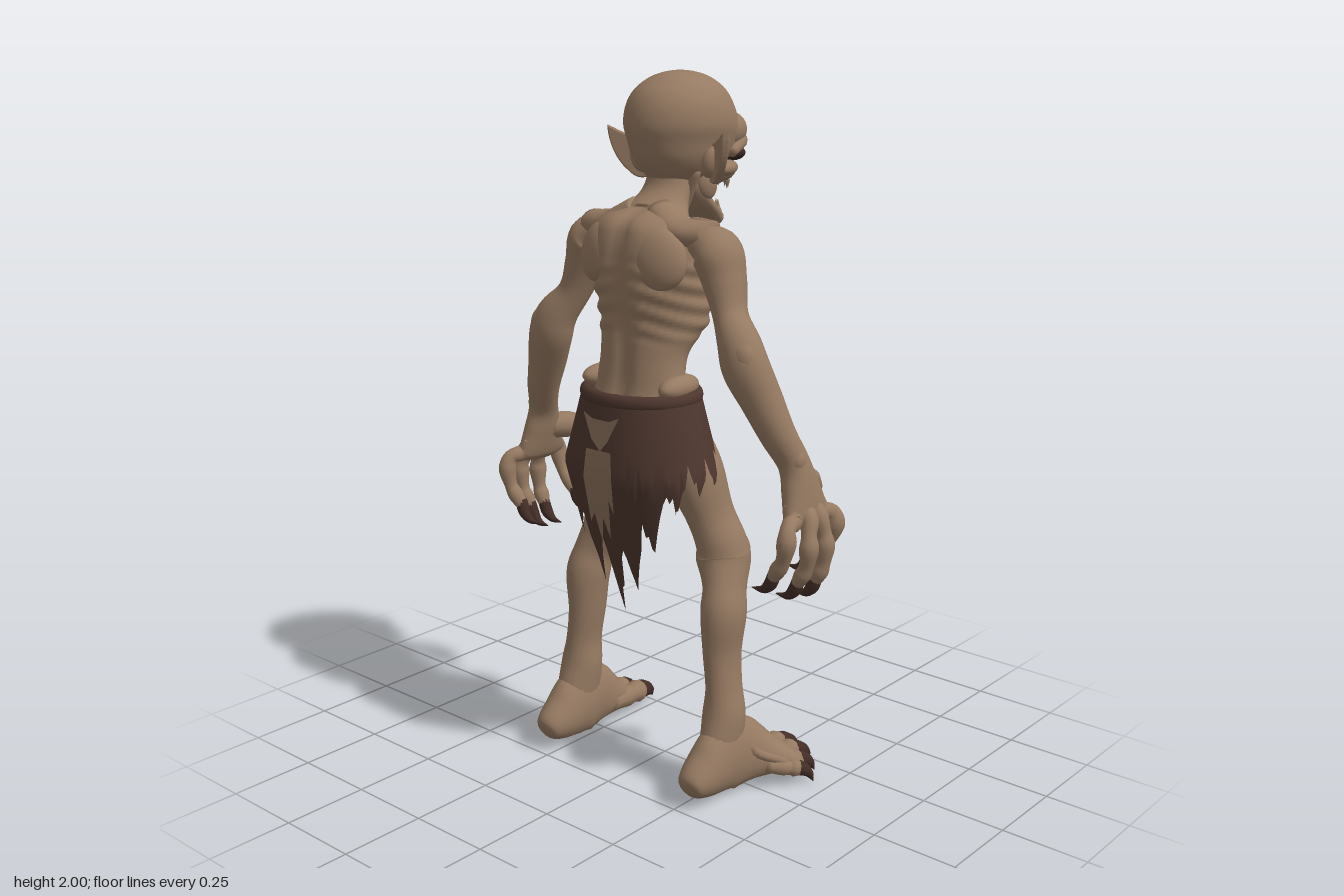
import * as THREE from 'three';

const mat = (name, color) => {
  const m = new THREE.MeshStandardMaterial({ color });
  m.name = name;
  return m;
};

// Smooth body through stations [x, y, z, radius along ref, radius across]; level keeps rings horizontal
function loft(stations, { ref = [1, 0, 0], sides = 20, rings = 40, level = false, move } = {}) {
  const mid = new THREE.CatmullRomCurve3(stations.map(s => new THREE.Vector3(s[0], s[1], s[2])), false, 'catmullrom');
  const rad = new THREE.CatmullRomCurve3(stations.map(s => new THREE.Vector3(s[3], s[4], 0)), false, 'catmullrom');
  const axis = new THREE.Vector3(...ref), pos = [], index = [];
  for (let i = 0; i <= rings; i++) {
    const c = mid.getPoint(i / rings), r = rad.getPoint(i / rings);
    const t = level ? new THREE.Vector3(0, 1, 0) : mid.getTangent(i / rings);
    const a = axis.clone().addScaledVector(t, -axis.dot(t)).normalize();
    const b = new THREE.Vector3().crossVectors(t, a);
    for (let j = 0; j < sides; j++) {
      const w = j / sides * Math.PI * 2;
      const p = c.clone().addScaledVector(a, Math.cos(w) * r.x).addScaledVector(b, Math.sin(w) * r.y);
      if (move) move(p, c);
      pos.push(p.x, p.y, p.z);
      if (i < rings) {
        const k = i * sides + j, l = i * sides + (j + 1) % sides;
        index.push(k, l, l + sides, k, l + sides, k + sides);
      }
    }
  }
  const last = rings * sides, s = stations[0], e = stations[stations.length - 1], n = pos.length / 3;
  pos.push(s[0], s[1], s[2], e[0], e[1], e[2]);
  for (let j = 0; j < sides; j++) {
    const k = (j + 1) % sides;
    index.push(n, k, j, n + 1, last + j, last + k);
  }
  const g = new THREE.BufferGeometry();
  g.setAttribute('position', new THREE.Float32BufferAttribute(pos, 3));
  g.setIndex(index);
  g.computeVertexNormals();
  return g;
}

const blob = (p, r, rot = [0, 0, 0]) => new THREE.SphereGeometry(1, 24, 16).scale(...r)
  .rotateX(rot[0]).rotateY(rot[1]).rotateZ(rot[2]).translate(...p);

function mirrored(g) {
  const m = g.clone().scale(-1, 1, 1);
  const id = m.index ? Array.from(m.index.array) : Array.from({ length: m.attributes.position.count }, (_, i) => i);
  for (let i = 0; i < id.length; i += 3) [id[i + 1], id[i + 2]] = [id[i + 2], id[i + 1]];
  m.setIndex(id);
  return m;
}

export function createModel() {
  const model = new THREE.Group();
  model.name = 'goblin';
  const skin = mat('skin', 0x967a62), cloth = mat('dark cloth', 0x4d362e), rag = mat('pale rag', 0x8a705a);
  const claw = mat('claw', 0x432d27), dark = mat('dark hollow', 0x3a2822), tooth = mat('tooth', 0x8f7c64);
  cloth.side = rag.side = THREE.DoubleSide;
  const add = (name, g, m = skin) => {
    const mesh = new THREE.Mesh(g, m);
    mesh.name = name;
    model.add(mesh);
  };
  const pair = (name, g, m = skin) => {
    add(name + 'Left', g, m);
    add(name + 'Right', mirrored(g), m);
  };
  const Z = [0, 0, 1];

  // Torso and neck, with ribs rippling the front and sides and a groove down the spine
  add('torso', loft([
    [0, 0.98, 0.09, 0.12, 0.1], [0, 1.08, 0.1, 0.16, 0.11], [0, 1.17, 0.1, 0.142, 0.092],
    [0, 1.25, 0.085, 0.136, 0.1], [0, 1.33, 0.045, 0.158, 0.138], [0, 1.42, 0.048, 0.168, 0.15],
    [0, 1.5, 0.065, 0.175, 0.14], [0, 1.57, 0.078, 0.165, 0.118], [0, 1.615, 0.075, 0.13, 0.095],
    [0, 1.65, 0.025, 0.085, 0.075], [0, 1.7, -0.015, 0.07, 0.056], [0, 1.79, -0.03, 0.065, 0.06],
  ], {
    sides: 40, rings: 110, level: true, move: (p, c) => {
      const fade = THREE.MathUtils.smoothstep(p.y, 1.27, 1.32) * (1 - THREE.MathUtils.smoothstep(p.y, 1.47, 1.54));
      const side = THREE.MathUtils.smoothstep(Math.abs(p.x), 0.02, 0.07);
      const k = 1 + 0.03 * fade * side * Math.sin((p.y + Math.abs(p.x) * 0.25 - p.z * 0.2) * Math.PI * 2 / 0.052);
      p.x *= k;
      p.z = c.z + (p.z - c.z) * k;
      if (p.z > 0.1) p.z -= 0.022 * Math.exp(-((p.x / 0.025) ** 2));
    },
  }));
  pair('shoulderBlade', blob([0.11, 1.52, 0.147], [0.075, 0.085, 0.04], [0, 0.4, 0.4]));
  pair('collarBone', loft([[0.015, 1.575, -0.03, 0.014, 0.014], [0.09, 1.6, -0.015, 0.014, 0.014], [0.2, 1.6, 0.03, 0.018, 0.018]], { ref: Z, sides: 10, rings: 12 }));
  pair('neckCord', loft([[0.015, 1.58, -0.035, 0.012, 0.012], [0.05, 1.66, -0.035, 0.014, 0.014], [0.085, 1.74, -0.03, 0.016, 0.016]], { sides: 8, rings: 10 }));
  pair('shoulderRidge', loft([[0.04, 1.635, 0.06, 0.05, 0.035], [0.12, 1.59, 0.08, 0.055, 0.038], [0.205, 1.582, 0.06, 0.05, 0.038]], { ref: Z, rings: 14 }));
  pair('hipBone', blob([0.128, 1.165, 0.09], [0.04, 0.035, 0.09], [0, 0.2, 0.2]));

  // Skull
  add('skull', loft([
    [0, 1.69, -0.045, 0.05, 0.05], [0, 1.73, -0.055, 0.095, 0.105], [0, 1.77, -0.07, 0.122, 0.152], [0, 1.815, -0.075, 0.135, 0.173],
    [0, 1.86, -0.068, 0.145, 0.174], [0, 1.91, -0.062, 0.138, 0.158], [0, 1.95, -0.062, 0.115, 0.133],
    [0, 1.98, -0.062, 0.078, 0.09], [0, 1.995, -0.062, 0.038, 0.045], [0, 2, -0.062, 0.002, 0.002],
  ], { sides: 36, rings: 60, level: true }));
  pair('temple', blob([0.068, 1.838, -0.165], [0.058, 0.055, 0.078]));
  pair('brow', loft([[0.005, 1.79, -0.246, 0.016, 0.014], [0.05, 1.807, -0.24, 0.02, 0.018], [0.098, 1.807, -0.205, 0.02, 0.02], [0.12, 1.78, -0.14, 0.014, 0.014]], { ref: [0, 1, 0], sides: 12, rings: 16 }));
  pair('eyeSocket', blob([0.06, 1.772, -0.213], [0.04, 0.022, 0.03], [0, 0.45, 0]), dark);
  pair('cheekBone', blob([0.085, 1.735, -0.16], [0.028, 0.022, 0.068], [0, 0.4, 0]));
  add('muzzle', blob([0, 1.725, -0.19], [0.073, 0.042, 0.08]));
  add('noseBridge', loft([[0, 1.79, -0.24, 0.015, 0.012], [0, 1.76, -0.254, 0.018, 0.014], [0, 1.735, -0.259, 0.026, 0.016], [0, 1.72, -0.255, 0.012, 0.01]], { sides: 12, rings: 12 }));
  pair('nostril', blob([0.013, 1.731, -0.269], [0.008, 0.009, 0.006]), dark);
  add('mouth', blob([0, 1.67, -0.115], [0.052, 0.03, 0.06], [-0.35, 0, 0]), dark);

  // Hanging jaw and teeth
  add('jaw', loft([[0, 1.7, -0.05, 0.075, 0.035], [0, 1.66, -0.09, 0.078, 0.033], [0, 1.617, -0.15, 0.066, 0.028], [0, 1.592, -0.19, 0.048, 0.028], [0, 1.588, -0.222, 0.028, 0.02]], { rings: 24 }));
  add('chin', blob([0, 1.598, -0.2], [0.033, 0.034, 0.028]));
  pair('jawHinge', blob([0.07, 1.705, -0.09], [0.022, 0.055, 0.04], [0.4, 0, 0]));
  for (let i = 0; i < 3; i++) {
    const x = 0.012 + i * 0.02, z = -0.245 + i * i * 0.01;
    pair('upperTooth', new THREE.ConeGeometry(0.006, 0.022, 6).rotateX(Math.PI).translate(x, 1.682, z), tooth);
    pair('lowerTooth', new THREE.ConeGeometry(0.006, 0.022, 6).translate(x * 0.75, 1.632, z + 0.035), tooth);
  }

  // Pointed ears
  const ear = new THREE.Shape();
  ear.moveTo(0, 0.105);
  ear.quadraticCurveTo(0.045, 0.105, 0.112, 0.142);
  ear.quadraticCurveTo(0.1, 0.06, 0.05, 0.022);
  ear.quadraticCurveTo(0.03, 0, 0, 0.01);
  const earAt = g => g.rotateY(-0.6).translate(0.12, 1.7, -0.07);
  pair('ear', earAt(new THREE.ExtrudeGeometry(ear, { depth: 0.012, bevelSize: 0.004, bevelThickness: 0.005, bevelSegments: 2, curveSegments: 10 })));
  pair('earRoot', blob([0.128, 1.762, -0.045], [0.024, 0.045, 0.036], [0, 0, -0.3]));
  pair('earHollow', earAt(blob([0.04, 0.065, -0.005], [0.012, 0.022, 0.004], [0, 0, -0.5])), dark);

  // Arms
  pair('arm', loft([
    [0.17, 1.57, 0.06, 0.05, 0.04], [0.222, 1.54, 0.05, 0.077, 0.064], [0.25, 1.47, 0.05, 0.068, 0.057],
    [0.285, 1.38, 0.065, 0.052, 0.045], [0.334, 1.31, 0.088, 0.057, 0.06], [0.36, 1.25, 0.09, 0.06, 0.066],
    [0.395, 1.17, 0.07, 0.056, 0.058], [0.435, 1.08, 0.05, 0.047, 0.05], [0.468, 1, 0.02, 0.044, 0.044],
    [0.485, 0.93, 0.01, 0.066, 0.042], [0.5, 0.86, 0.005, 0.088, 0.034], [0.505, 0.835, 0.005, 0.075, 0.02],
  ], { ref: Z, sides: 20, rings: 66 }));
  pair('elbowBone', blob([0.365, 1.285, 0.11], [0.042, 0.055, 0.036], [0, 0, 0.4]));
  pair('wristBone', blob([0.485, 1.01, 0.03], [0.026, 0.035, 0.026]));

  // Fingers with knuckles, curled inward and clawed; the first curls furthest
  for (let i = 0; i < 4; i++) {
    const z = -0.058 + i * 0.042, f = -0.09 + i * 0.067, d = [0.03, -0.008, 0, 0.03][i], o = i % 3 ? 0.01 : -0.01;
    const c = [0.05, 0, 0.01, 0.02][i];
    pair('finger', loft([
      [0.49, 0.9, z * 0.9, 0.02, 0.02], [0.515 + o, 0.86, z, 0.028, 0.026], [0.53 + o, 0.82 + d, f, 0.021, 0.021],
      [0.535 + o, 0.785 + d, f * 1.1, 0.028, 0.026], [0.53 + o - c * 0.3, 0.735 + d, f * 1.08, 0.02, 0.02],
      [0.52 + o - c * 0.7, 0.705 + d, f * 1.05, 0.024, 0.023], [0.503 + o - c, 0.672 + d, f, 0.016, 0.016],
    ], { ref: Z, sides: 12, rings: 30 }));
    pair('fingerClaw', loft([[0.511 + o - c, 0.69 + d, f, 0.018, 0.018], [0.496 + o - c, 0.655 + d, f, 0.018, 0.018], [0.472 + o - c, 0.635 + d, f, 0.011, 0.011], [0.435 + o - c, 0.632 + d, f, 0.001, 0.001]], { ref: Z, sides: 10, rings: 10 }), claw);
  }
  pair('thumb', loft([[0.48, 0.93, -0.02, 0.045, 0.04], [0.445, 0.93, -0.065, 0.042, 0.04], [0.408, 0.927, -0.1, 0.028, 0.028], [0.375, 0.91, -0.125, 0.032, 0.03], [0.355, 0.875, -0.138, 0.021, 0.021], [0.347, 0.85, -0.14, 0.018, 0.018]], { ref: Z, sides: 12, rings: 24 }));
  pair('thumbClaw', loft([[0.348, 0.867, -0.14, 0.021, 0.021], [0.34, 0.83, -0.14, 0.018, 0.018], [0.345, 0.803, -0.14, 0.011, 0.011], [0.365, 0.785, -0.14, 0.001, 0.001]], { ref: Z, sides: 10, rings: 10 }), claw);

  // Legs
  pair('leg', loft([
    [0.09, 1.07, 0.08, 0.07, 0.08], [0.145, 0.93, 0.05, 0.08, 0.088], [0.184, 0.8, 0.02, 0.062, 0.074],
    [0.212, 0.72, 0.005, 0.07, 0.075], [0.22, 0.67, 0.002, 0.075, 0.082], [0.247, 0.6, 0.03, 0.058, 0.07],
    [0.26, 0.53, 0.05, 0.061, 0.072], [0.261, 0.42, 0.055, 0.049, 0.064], [0.272, 0.32, 0.06, 0.047, 0.06],
    [0.278, 0.24, 0.065, 0.058, 0.066], [0.28, 0.15, 0.08, 0.052, 0.075], [0.28, 0.06, 0.1, 0.045, 0.06],
  ], { rings: 60 }));
  pair('kneeCap', blob([0.216, 0.685, -0.048], [0.052, 0.06, 0.04]));
  pair('ankleBone', blob([0.31, 0.21, 0.065], [0.026, 0.045, 0.038]));

  // Feet, with flat soles and a high instep
  pair('foot', loft([
    [0.28, 0.065, 0.23, 0.015, 0.015], [0.28, 0.07, 0.215, 0.042, 0.042], [0.28, 0.085, 0.16, 0.058, 0.075],
    [0.283, 0.11, 0.08, 0.06, 0.115], [0.293, 0.105, 0.01, 0.06, 0.105], [0.313, 0.08, -0.06, 0.078, 0.068],
    [0.335, 0.056, -0.12, 0.088, 0.042], [0.342, 0.042, -0.155, 0.07, 0.024],
  ], { rings: 40, move: p => { p.y = Math.max(p.y, 0.012); } }));
  [[0.268, -0.12, 0.292, -0.275, 0.034], [0.322, -0.12, 0.355, -0.25, 0.031], [0.366, -0.09, 0.407, -0.2, 0.028], [0.392, -0.06, 0.447, -0.14, 0.025]].forEach(([x, z, tx, tz, r]) => {
    const at = (k, y, a) => [x + (tx - x) * k, y, z + (tz - z) * k, a, a];
    pair('toe', loft([at(-0.5, 0.07, r * 0.8), at(0, 0.06, r), at(0.22, 0.055, r * 0.88), at(0.4, 0.052, r * 1.05), at(0.58, 0.042, r * 0.7)], { sides: 12, rings: 16 }));
    pair('toeClaw', loft([at(0.4, 0.053, r * 0.88), at(0.62, 0.047, r * 0.85), at(0.85, 0.03, r * 0.55), at(1, 0.002, 0.001)], { sides: 10, rings: 10 }), claw);
    pair('footTendon', loft([at(0.1, 0.075, 0.014), [x * 0.5 + 0.15, 0.12, z + 0.07, 0.015, 0.015], [0.285 + (x - 0.3) * 0.3, 0.18, 0.015, 0.014, 0.014]], { sides: 8, rings: 10 }));
  });

  // Ragged loincloth: skirt hung from an oval waist, long at the back
  let seed = 7;
  const rand = () => (seed = (seed * 16807) % 2147483647) / 2147483647;
  const hang = (a, d) => {
    const tail = Math.max(0, d - 0.22);
    return [Math.sin(a) * 0.175 * (1 + 1.9 * Math.min(d, 0.22)) * (1 - tail * 0.8), 1.145 - d,
      0.1 + Math.cos(a) * (0.148 + 0.12 * Math.min(d, 0.22)) - tail * 0.25 * Math.max(0, Math.cos(a))];
  };
  const env = [[0, 0.64], [0.2, 0.6], [0.5, 0.52], [0.8, 0.38], [1.1, 0.28], [1.6, 0.25], [2.4, 0.2], [3.2, 0.15]];
  const depth = a => {
    const i = Math.max(1, env.findIndex(e => e[0] >= a)), [p, q] = [env[i - 1], env[i]];
    return p[1] + (q[1] - p[1]) * (a - p[0]) / (q[0] - p[0]);
  };
  const cols = 144, rows = 14, pos = [], index = [];
  for (let i = 0; i <= cols; i++) {
    const a = (i / cols * 2 - 1) * Math.PI, tri = Math.abs((i % 8) / 4 - 1);
    const hem = depth(Math.abs(a)) * (0.68 + 0.32 * tri + (i % 8 ? (rand() - 0.5) * 0.12 : 0));
    for (let j = 0; j <= rows; j++) {
      pos.push(...hang(a, hem * j / rows));
      if (i < cols && j < rows) {
        const k = i * (rows + 1) + j, l = k + rows + 1;
        index.push(k, k + 1, l, l, k + 1, l + 1);
      }
    }
  }
  const skirt = new THREE.BufferGeometry();
  skirt.setAttribute('position', new THREE.Float32BufferAttribute(pos, 3));
  skirt.setIndex(index);
  skirt.computeVertexNormals();
  add('loincloth', skirt, cloth);
  add('waistRoll', new THREE.TorusGeometry(0.165, 0.018, 12, 48).rotateX(Math.PI / 2).scale(1, 1.2, 0.85).translate(0, 1.135, 0.1), cloth);
  add('waistFold', new THREE.RingGeometry(0.1, 0.165, 48).rotateX(-Math.PI / 2).scale(1, 1, 0.85).translate(0, 1.14, 0.1), cloth);

  // Pale rag flaps at the back and front
  const flap = (name, pts, zAt) => {
    const g = new THREE.ShapeGeometry(new THREE.Shape(pts.map(p => new THREE.Vector2(...p))));
    const p = g.attributes.position;
    for (let i = 0; i < p.count; i++) p.setZ(i, zAt(p.getY(i)));
    g.computeVertexNormals();
    add(name, g, rag);
  };
  const back = y => hang(0, 1.145 - y)[2] + 0.006, front = y => hang(Math.PI, Math.min(0.22, 1.145 - y))[2] - 0.008;
  const vee = [[-0.065, 1.1], [-0.03, 1.085], [0.03, 1.085], [0.065, 1.1], [0.03, 1.03], [0.005, 1], [-0.03, 1.03]];
  const strip = [[-0.05, 1], [0.04, 1], [0.05, 0.92], [0.035, 0.82], [0.025, 0.86], [0.005, 0.74], [-0.01, 0.8], [-0.03, 0.72], [-0.04, 0.81], [-0.06, 0.78], [-0.055, 0.92]];
  flap('backFlap', vee, y => back(y) + 0.004);
  flap('backStrip', strip, back);
  flap('frontFlap', vee, y => front(y) - 0.004);
  flap('frontStrip', strip, front);
  return model;
}
